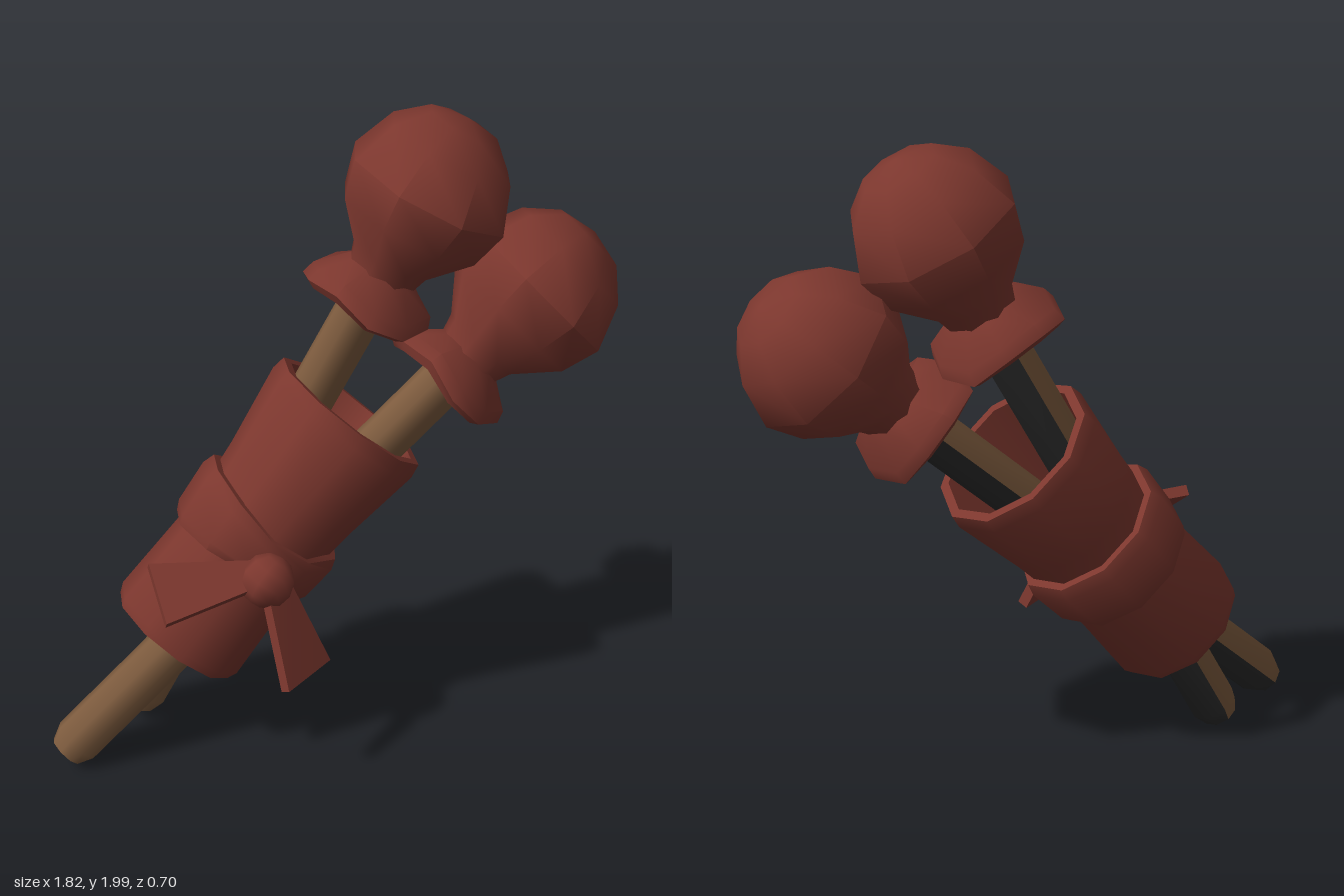
import * as THREE from 'three';
import { toCreasedNormals } from 'three/addons/utils/BufferGeometryUtils.js';

const material = (name, color) => new THREE.MeshStandardMaterial({ name, color });

// Revolved part; profile is [radius, height] pairs, optional rule moves vertices
function lathe(profile, sides, rule, start = 0, length = Math.PI * 2) {
  const geo = new THREE.LatheGeometry(profile.map(p => new THREE.Vector2(...p)), sides, start, length);
  if (rule) {
    const pos = geo.attributes.position, v = new THREE.Vector3();
    for (let i = 0; i < pos.count; i++) {
      rule(v.fromBufferAttribute(pos, i));
      pos.setXYZ(i, v.x, v.y, v.z);
    }
  }
  return toCreasedNormals(geo, 0.9);
}

// Group whose local y runs from a to b and whose local z is the upper side
function axisGroup(name, a, b, origin) {
  const g = new THREE.Group();
  g.name = name;
  const d = new THREE.Vector3().subVectors(b, a).normalize();
  const u = new THREE.Vector3(0, 0, 1).cross(d).normalize();
  const w = new THREE.Vector3().crossVectors(d, u);
  g.quaternion.setFromRotationMatrix(new THREE.Matrix4().makeBasis(w, d, u));
  g.position.copy(origin);
  return g;
}

function add(parent, name, geo, mat) {
  const m = new THREE.Mesh(geo, mat);
  m.name = name;
  parent.add(m);
  return m;
}

// Flat ribbon flaring from a narrow start edge to a wide end edge
function ribbon(s0, s1, e0, e1, thick) {
  const geo = new THREE.BoxGeometry(1, 1, 1);
  const [a, b, c, d] = [s0, s1, e0, e1].map(p => new THREE.Vector3(...p));
  const n = new THREE.Vector3().subVectors(c, a).cross(new THREE.Vector3().subVectors(b, a)).normalize();
  const pos = geo.attributes.position, p = new THREE.Vector3();
  for (let i = 0; i < pos.count; i++) {
    const [side, along, off] = [pos.getX(i), pos.getY(i), pos.getZ(i)];
    p.copy(along < 0 ? (side < 0 ? a : b) : (side < 0 ? c : d)).addScaledVector(n, -off * thick);
    pos.setXYZ(i, p.x, p.y, p.z);
  }
  geo.computeVertexNormals();
  return geo;
}

export function createModel() {
  const model = new THREE.Group();
  model.name = 'torchBundle';
  const red = material('red cloth', 0x7c372e);
  red.side = THREE.DoubleSide;
  const brown = material('brown wood', 0x7d5b3e);
  const black = material('charred wood', 0x2c2c2c);

  // Two torches: two-tone stick, wrapped head and flared collar
  const torches = [
    ['frontTorch', [-0.85, 0.07, -0.02], [0.66, 1.40, 0.02]],
    ['backTorch', [-0.57, 0.08, -0.19], [0.34, 1.74, -0.07]],
  ];
  for (const [name, from, to] of torches) {
    const a = new THREE.Vector3(...from), b = new THREE.Vector3(...to);
    const torch = axisGroup(name, a, b, b);
    const L = a.distanceTo(b);
    const stick = [[0, -L - 0.02], [0.055, -L - 0.02], [0.077, -L + 0.03], [0.077, -0.2]];
    const q = Math.PI / 4;
    add(torch, 'stickBrownSide', lathe(stick, 5, null, -2 * q, 5 * q), brown);
    add(torch, 'stickBlackSide', lathe(stick, 3, null, 3 * q, 3 * q), black);
    add(torch, 'wrappedHead', lathe([
      [0.1, -0.31], [0.13, -0.22], [0.235, -0.1], [0.268, 0.02],
      [0.21, 0.16], [0.12, 0.24], [0, 0.265],
    ], 8), red);
    // Wavy rim, strongest away from the axis
    const wavy = v => {
      const r = Math.hypot(v.x, v.z);
      v.y += 0.22 * Math.max(0, r - 0.1) * Math.sin(3 * Math.atan2(v.x, v.z));
    };
    add(torch, 'collar', lathe([
      [0.09, -0.29], [0.18, -0.395], [0.208, -0.375], [0.195, -0.335], [0.105, -0.26],
    ], 10, wavy), red);
    model.add(torch);
  }

  // Hollow cloth sleeve around both sticks
  const base = new THREE.Vector3(-0.48, 0.36, -0.085);
  const wrap = axisGroup('wrap', base, new THREE.Vector3(0.1, 1.03, -0.085), base);
  add(wrap, 'sleeve', lathe([
    [0.19, 0.0], [0.215, 0.0], [0.228, 0.03], [0.212, 0.4], [0.232, 0.6],
    [0.272, 0.86], [0.265, 0.905], [0.235, 0.905], [0.2, 0.6], [0.185, 0.4], [0.19, 0.0],
  ], 10), red);

  // Band, gathered toward the knot at the front (local +x)
  const gather = v => {
    const k = Math.max(0, v.x / 0.25) ** 2;
    v.y = THREE.MathUtils.lerp(v.y, 0.4, 0.45 * k);
    v.x -= 0.02 * k;
  };
  add(wrap, 'band', lathe([
    [0.2, 0.32], [0.235, 0.32], [0.25, 0.35], [0.262, 0.49], [0.25, 0.53], [0.2, 0.53],
  ], 10, gather), red);
  model.add(wrap);

  // Bow: knot and two ribbon tails
  const bow = new THREE.Group();
  bow.name = 'bow';
  const knot = add(bow, 'knot', new THREE.SphereGeometry(0.085, 8, 6), red);
  knot.position.set(-0.26, 0.67, 0.18);
  knot.rotation.z = -0.6;
  add(bow, 'sideTail', ribbon(
    [-0.27, 0.71, 0.13], [-0.27, 0.66, 0.19], [-0.6, 0.735, 0.07], [-0.6, 0.62, 0.235], 0.035), red);
  add(bow, 'hangingTail', ribbon(
    [-0.28, 0.66, 0.2], [-0.2, 0.66, 0.16], [-0.265, 0.37, 0.345], [-0.09, 0.375, 0.235], 0.035), red);
  model.add(bow);

  return model;
}
